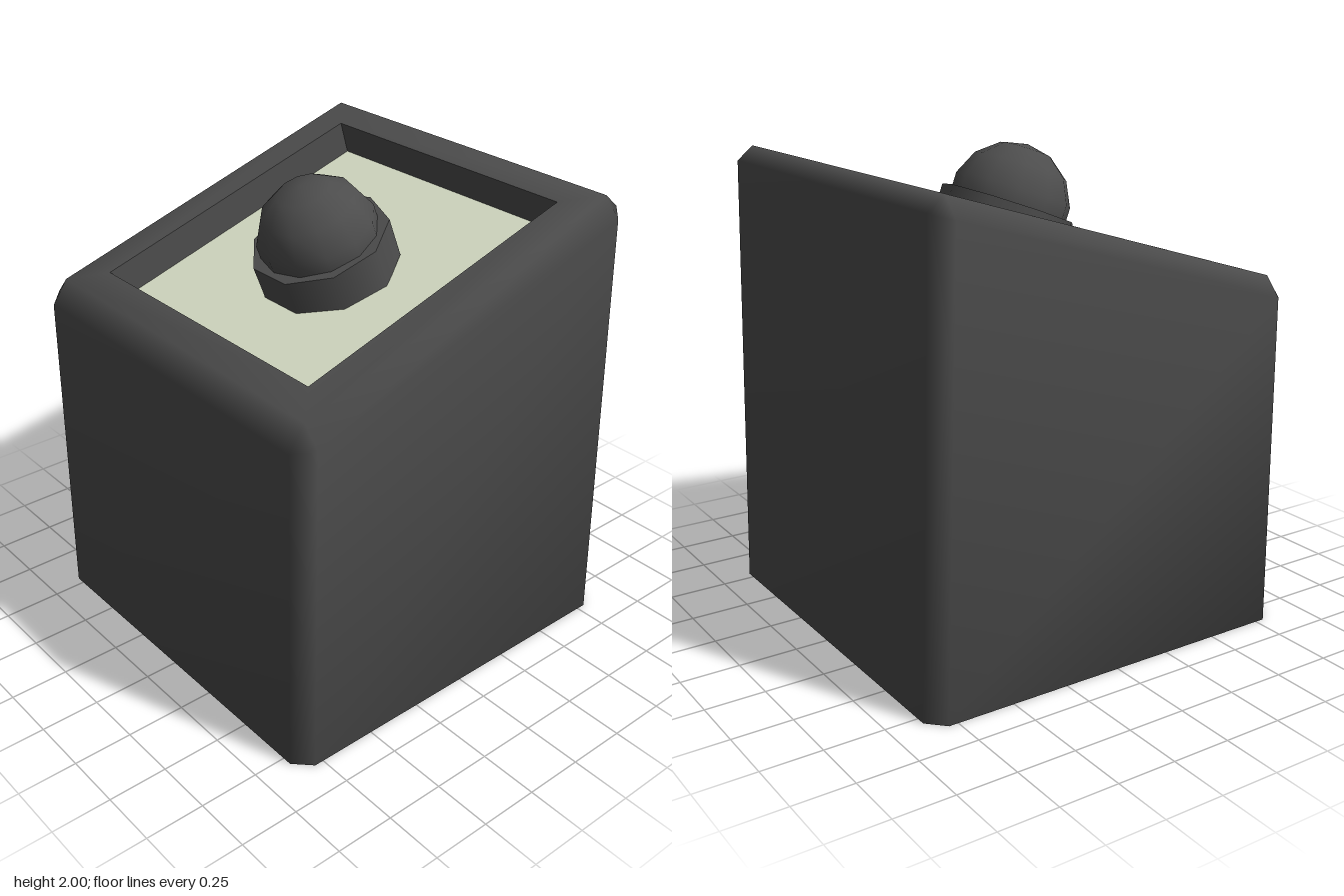
import * as THREE from 'three';
import { mergeVertices } from 'three/addons/utils/BufferGeometryUtils.js';

const dark = new THREE.MeshStandardMaterial({ color: 0x4d4d4d });
dark.name = 'charcoal';
const pale = new THREE.MeshStandardMaterial({ color: 0xd5dcc4 });
pale.name = 'pale green';

// Rectangle with cut corners; its height runs straight from yFront to yBack
function ring(halfX, zFront, zBack, cut, yFront, yBack) {
  const x = halfX - cut, f = zFront - cut, b = zBack + cut;
  return [
    [-x, zFront], [x, zFront], [halfX, f], [halfX, b],
    [x, zBack], [-x, zBack], [-halfX, b], [-halfX, f],
  ].map(([px, z]) => {
    const t = zFront === zBack ? 0 : (zFront - z) / (zFront - zBack);
    return [px, yFront + (yBack - yFront) * t, z];
  });
}

// Skin joining successive rings
function loft(rings, smooth) {
  const positions = rings.flat(2), index = [];
  for (let r = 0; r < rings.length - 1; r++) {
    for (let i = 0; i < 8; i++) {
      const a = r * 8 + i, b = r * 8 + (i + 1) % 8;
      index.push(a, b, b + 8, a, b + 8, a + 8);
    }
  }
  let g = new THREE.BufferGeometry();
  g.setAttribute('position', new THREE.Float32BufferAttribute(positions, 3));
  g.setIndex(index);
  g = smooth ? mergeVertices(g) : g.toNonIndexed();
  g.computeVertexNormals();
  return g;
}

function add(parent, name, geometry, material) {
  const mesh = new THREE.Mesh(geometry, material);
  mesh.name = name;
  parent.add(mesh);
  return mesh;
}

export function createModel() {
  const model = new THREE.Group();
  model.name = 'slopedPedestal';

  const rim = ring(0.65, 0.64, -0.62, 0, 1.54, 1.92);
  const floor = ring(0.65, 0.6, -0.66, 0, 1.4, 1.78);

  // Pedestal: base, tapering walls, bevelled sloping top
  add(model, 'body', loft([
    ring(0, 0, 0, 0, 0, 0),
    ring(0.86, 0.86, -0.86, 0.07, 0, 0),
    ring(0.86, 0.84, -0.81, 0.07, 1.4, 1.9),
    ring(0.79, 0.77, -0.74, 0, 1.5, 1.96),
    rim,
  ], true), dark);

  // Sunken panel inside the rim
  add(model, 'recessWalls', loft([rim, floor], false), dark);
  add(model, 'panel', loft([floor, ring(0, -0.03, -0.03, 0, 1.59, 1.59)], false), pale);

  // Tilted ball seated in a nine-sided collar
  const ball = new THREE.Group();
  ball.name = 'ballMount';
  ball.position.set(0, 1.745, 0.05);
  ball.rotation.x = 0.366;
  model.add(ball);
  const collar = add(ball, 'collar', new THREE.CylinderGeometry(0.292, 0.292, 0.18, 9), dark);
  collar.rotation.y = Math.PI;
  collar.position.y = -0.09;
  add(ball, 'ball', new THREE.SphereGeometry(0.255, 12, 7), dark).position.y = 0.003;

  return model;
}
